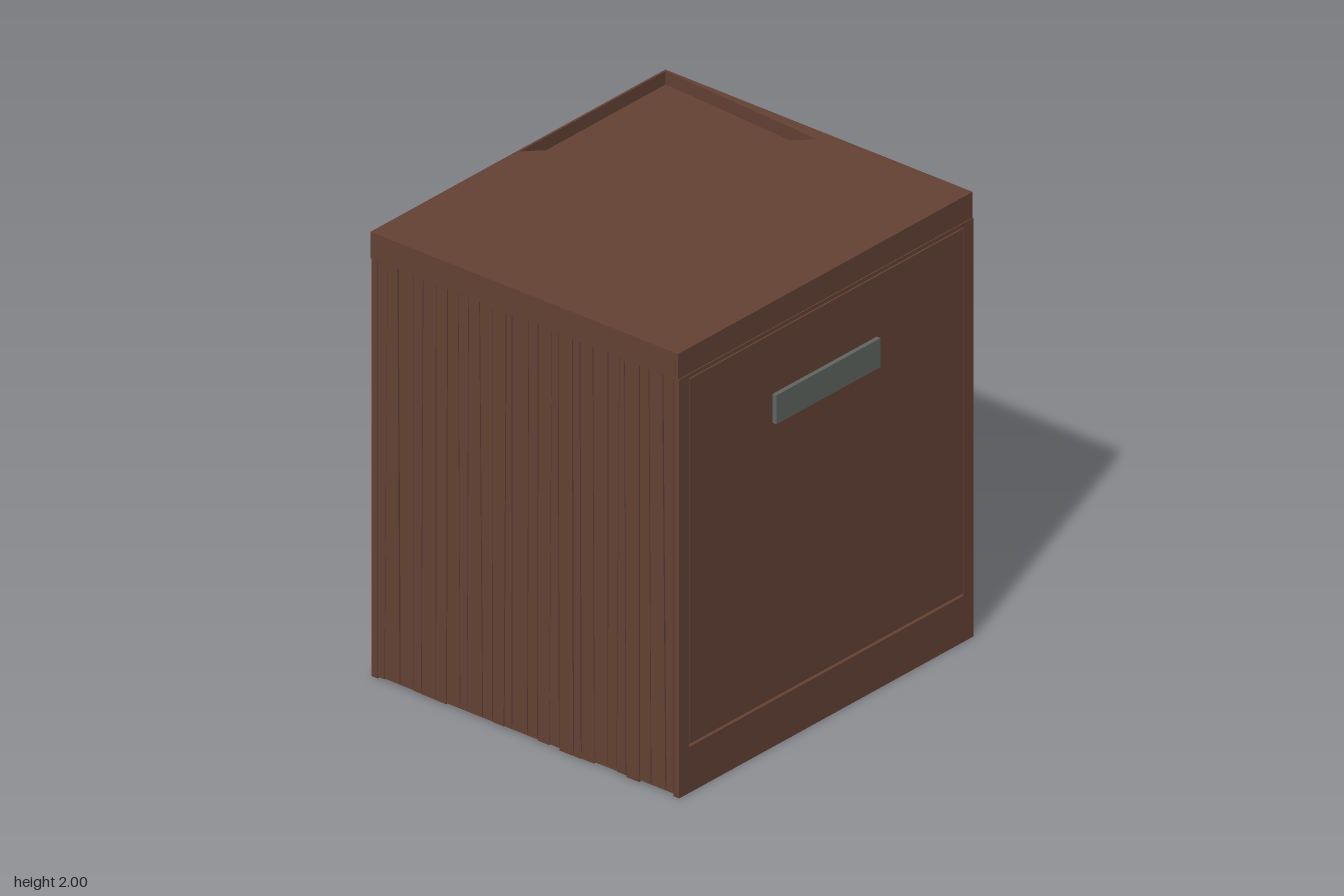
import * as THREE from 'three';

export function createModel() {
  const wood = new THREE.MeshStandardMaterial({ color: 0x644234 });
  wood.name = 'brown wood';
  const metal = new THREE.MeshStandardMaterial({ color: 0x60665f });
  metal.name = 'grey metal';

  const model = new THREE.Group();
  model.name = 'cabinet';

  // Adds a geometry as a named mesh
  function add(name, geometry, material = wood, parent = model) {
    const mesh = new THREE.Mesh(geometry, material);
    mesh.name = name;
    parent.add(mesh);
    return mesh;
  }
  // Box given by its lower and upper corners
  function box(name, a, b, material, parent) {
    const g = new THREE.BoxGeometry(b[0] - a[0], b[1] - a[1], b[2] - a[2]);
    g.translate((a[0] + b[0]) / 2, (a[1] + b[1]) / 2, (a[2] + b[2]) / 2);
    return add(name, g, material, parent);
  }
  let seed = 7;
  const random = () => (seed = (seed * 16807) % 2147483647) / 2147483647;

  // Top slab, with a shallow triangular sink in the back corner
  box('topSlab', [-0.905, 1.88, -0.815], [0.905, 1.94, 0.79]);
  const outline = new THREE.Shape([
    new THREE.Vector2(-0.905, -0.79), new THREE.Vector2(0.905, -0.79),
    new THREE.Vector2(0.905, 0.815), new THREE.Vector2(-0.905, 0.815),
  ]);
  outline.holes.push(new THREE.Path([
    new THREE.Vector2(0, 0.805), new THREE.Vector2(0.895, 0.805), new THREE.Vector2(0.845, -0.03),
  ]));
  const surface = new THREE.ExtrudeGeometry(outline, { depth: 0.06, bevelEnabled: false });
  surface.rotateX(-Math.PI / 2);
  surface.translate(0, 1.94, 0);
  add('topSurface', surface);

  // Floor of the hollow body
  box('floor', [-0.9, 0.01, -0.8], [0.9, 0.03, 0.785]);

  // Front and back: door panel, base rail and corner stiles with thin gaps
  for (const [end, z0, z1] of [['front', 0.765, 0.795], ['back', -0.81, -0.78]]) {
    box(end + 'Panel', [-0.84, 0.22, z0], [0.84, 1.862, z1]);
    box(end + 'BaseRail', [-0.845, 0, z0], [0.845, 0.207, z1]);
    box(end + 'TopRail', [-0.845, 1.868, z0], [0.845, 1.885, z1]);
    for (const s of [-1, 1]) {
      const x = s * 0.874;
      box(end + 'Stile', [x - 0.03, 0, z0], [x + 0.03, 1.885, z1]);
    }
  }

  // Sides: uneven, slightly leaning planks over a backing sheet
  for (const s of [-1, 1]) {
    const side = new THREE.Group();
    side.name = s > 0 ? 'leftSide' : 'rightSide';
    model.add(side);
    box('backing', [s * 0.885 - 0.005, 0.02, -0.79], [s * 0.885 + 0.005, 1.88, 0.775], wood, side);

    const count = 26, edges = [];
    for (let i = 0; i <= count; i++) {
      const inner = i > 0 && i < count;
      const z = -0.78 + (1.545 * i) / count + (inner ? (random() - 0.5) * 0.03 : 0);
      const lean = inner ? (random() - 0.5) * 0.018 : 0;
      edges.push([z - lean, z + lean]);
    }
    for (let i = 0; i < count; i++) {
      const g = new THREE.BoxGeometry(0.012, 1, 1);
      const p = g.attributes.position;
      const bottom = random() * 0.02, face = s * (0.895 + random() * 0.004);
      for (let v = 0; v < p.count; v++) {
        const top = p.getY(v) > 0 ? 1 : 0;
        const far = p.getZ(v) > 0;
        const z = far ? edges[i + 1][top] - 0.002 : edges[i][top] + 0.002;
        p.setXYZ(v, p.getX(v) + face, top ? 1.88 : bottom, z);
      }
      g.computeVertexNormals();
      add('plank', g, wood, side);
    }
  }

  // Door handle plate
  box('handle', [-0.33, 1.46, 0.785], [0.31, 1.59, 0.815], metal);

  return model;
}
